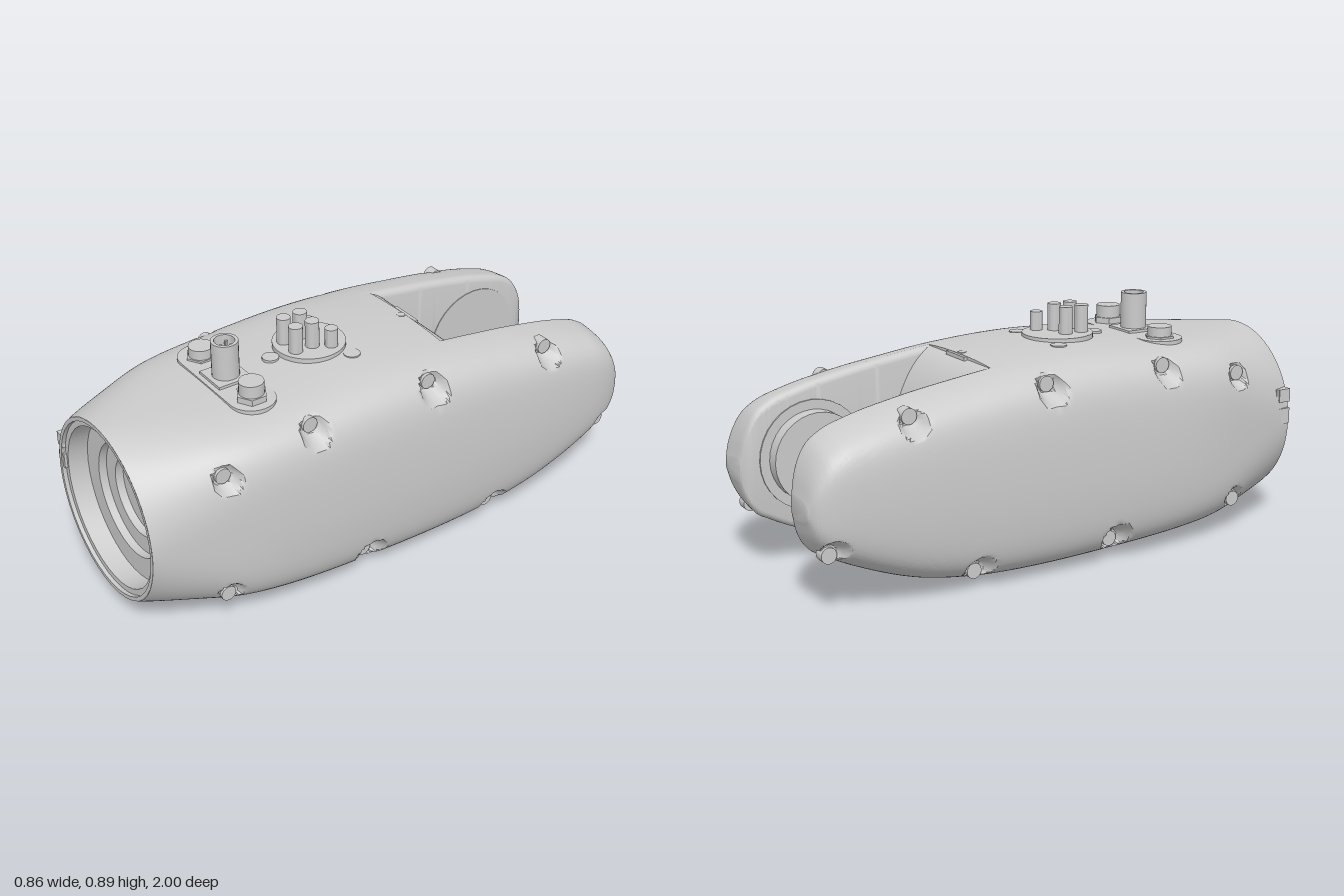
import * as THREE from 'three';
import { toCreasedNormals } from 'three/addons/utils/BufferGeometryUtils.js';

const grey = new THREE.MeshStandardMaterial({ color: 0xcccccc });
const greyOpen = new THREE.MeshStandardMaterial({ color: 0xcccccc, side: THREE.DoubleSide });

// Housing stations along the length: t = -z, values: top, bottom, half width, squareness, widest height
const stations = [
  [-1, 0.725, 0.065, 0.33, 2, 0.395],
  [-0.8, 0.734, 0.05, 0.375, 3.2, 0.385],
  [-0.6, 0.742, 0.035, 0.41, 5.4, 0.37],
  [-0.4, 0.752, 0.022, 0.425, 6.6, 0.35],
  [-0.1, 0.765, 0.008, 0.43, 7, 0.34],
  [0.2, 0.75, 0.003, 0.43, 7, 0.34],
  [0.4, 0.725, 0.015, 0.428, 7, 0.345],
  [0.6, 0.693, 0.052, 0.425, 6.6, 0.36],
  [0.8, 0.648, 0.128, 0.417, 6, 0.375],
  [0.9, 0.61, 0.178, 0.405, 5.5, 0.385],
  [0.95, 0.565, 0.21, 0.39, 5, 0.385],
  [0.985, 0.485, 0.268, 0.368, 4.5, 0.38],
  [1, 0.42, 0.325, 0.345, 4, 0.375],
];
const profile = new THREE.CubicInterpolant(
  stations.map(s => s[0]), stations.flatMap(s => s.slice(1)), 5);

// Screw pockets bored inwards from both sides: [y, z]
const screws = [[0.62, 0.73], [0.69, 0.39], [0.685, -0.1], [0.645, -0.63],
  [0.135, 0.73], [0.08, 0.17], [0.065, -0.39], [0.222, -0.93]];
const POCKET = 0.33;

function pocketed(x, y, z) {
  let limit = Infinity;
  for (const [sy, sz] of screws) {
    const d = Math.hypot(y - sy, z - sz);
    limit = Math.min(limit, POCKET + Math.max(0, d - 0.035) * 2.2);
  }
  return Math.sign(x) * Math.min(Math.abs(x), limit);
}

// Rounded box section with a crowned top and tapering sides, swept between two angles
function arc(t, count, inner) {
  const [top, bottom, w, n, mid] = profile.evaluate(t);
  const square = Math.min(1, (n - 2) / 5), taper = 0.075 * square, crown = 0.075 * square;
  const k = inner / (w * (1 - taper));
  const edge = Math.atan2(Math.pow(1 - Math.pow(k, n), 1 / n), k);
  const from = inner ? -edge : 0;
  const to = inner ? edge : Math.PI * 2;
  const pts = [];
  for (let i = 0; i < count; i++) {
    const a = from + (to - from) * i / (inner ? count - 1 : count);
    const c = Math.cos(a), s = Math.sin(a);
    const r = Math.pow(Math.pow(Math.abs(c), n) + Math.pow(Math.abs(s), n), -1 / n);
    const u = c * r, v = s * r;
    const y = mid + v * (1 - crown * u * u) * (v > 0 ? top - mid : mid - bottom);
    pts.push([pocketed(w * u * (1 - taper * v * v), y, -t), y, -t]);
  }
  return pts;
}

function loft(rings, capEnd) {
  const n = rings[0].length, index = [], pos = rings.flat(2);
  for (let i = 0; i < rings.length - 1; i++) {
    for (let j = 0; j < n; j++) {
      const a = i * n + j, b = i * n + (j + 1) % n, d = a + n, c = b + n;
      index.push(a, d, b, b, d, c);
    }
  }
  if (capEnd) {
    const last = rings[rings.length - 1], base = (rings.length - 1) * n;
    const mean = k => last.reduce((s, p) => s + p[k], 0) / n;
    pos.push(mean(0), mean(1), mean(2));
    for (let j = 0; j < n; j++) index.push(rings.length * n, base + (j + 1) % n, base + j);
  }
  const g = new THREE.BufferGeometry();
  g.setAttribute('position', new THREE.Float32BufferAttribute(pos, 3));
  g.setIndex(index);
  return toCreasedNormals(g, 0.6);
}

export function createModel() {
  const model = new THREE.Group();
  const add = (name, geo, x = 0, y = 0, z = 0, material = grey) => {
    const m = new THREE.Mesh(geo, material);
    m.name = name;
    m.position.set(x, y, z);
    model.add(m);
    return m;
  };
  const post = (name, r, y0, y1, x, z, sides = 24) =>
    add(name, toCreasedNormals(new THREE.CylinderGeometry(r, r, y1 - y0, sides), 0.6), x, (y0 + y1) / 2, z);
  const sideDisc = (name, r, x0, x1, y, z) => {
    const m = add(name, new THREE.CylinderGeometry(r, r, Math.abs(x1 - x0), 32), (x0 + x1) / 2, y, z);
    m.rotation.z = Math.PI / 2;
  };

  // Main housing: round at the front, squared towards the fork
  const bodyRings = [];
  for (let i = 0; i <= 110; i++) bodyRings.push(arc(-1 + 1.25 * i / 110, 180, 0));
  add('housing', loft(bodyRings, true));

  // Fork arms with rounded inner edges, mirrored
  const armRings = [];
  for (let i = 0; i <= 90; i++) {
    const t = 0.2 + 0.8 * Math.sin(i / 90 * Math.PI / 2);
    const xi = 0.195 + 0.02 * Math.max(0, (t - 0.96) / 0.04) ** 2;
    const round = 0.025;
    const ring = arc(t, 100, xi + round);
    const lo = ring[0][1], hi = ring[99][1];
    const corner = [0.25, 0.5, 0.75, 1].map(f => f * Math.PI / 2)
      .map(a => [xi + round * (1 - Math.sin(a)), round * (1 - Math.cos(a))]);
    for (const [x, d] of corner) ring.push([x, hi - d, -t]);
    for (const [x, d] of corner.reverse()) ring.push([x, lo + d, -t]);
    armRings.push(ring);
  }
  const armGeo = loft(armRings, true);
  add('leftForkArm', armGeo);
  add('rightForkArm', armGeo).scale.x = -1;

  // Bulging web between the arms
  const web = new THREE.Shape();
  web.moveTo(-0.2, 0.03);
  web.lineTo(-0.2, 0.735);
  web.lineTo(-0.25, 0.733);
  web.bezierCurveTo(-0.34, 0.71, -0.42, 0.52, -0.42, 0.4);
  web.bezierCurveTo(-0.42, 0.26, -0.34, 0.08, -0.27, 0.012);
  web.lineTo(-0.24, 0.012);
  const webGeo = new THREE.ExtrudeGeometry(web, { depth: 0.43, bevelEnabled: false, curveSegments: 16 });
  webGeo.rotateY(-Math.PI / 2).translate(0.215, 0, 0);
  add('forkWeb', toCreasedNormals(webGeo, 0.6));

  // Stepped bore in the front
  const bore = [[0.33, 1], [0.315, 1], [0.315, 0.985], [0.293, 0.985], [0.293, 0.91], [0.21, 0.91],
    [0.21, 0.88], [0.145, 0.88], [0.145, 0.85], [0.063, 0.85], [0.063, 0.82], [0, 0.82]];
  const boreGeo = new THREE.LatheGeometry(bore.map(p => new THREE.Vector2(...p)).reverse(), 40);
  boreGeo.rotateX(Math.PI / 2);
  add('frontBore', toCreasedNormals(boreGeo, 0.5), 0, 0.395, 0, greyOpen);
  add('frontLugUpper', new THREE.BoxGeometry(0.04, 0.05, 0.05), -0.32, 0.5, 0.97);
  add('frontLugLower', new THREE.BoxGeometry(0.04, 0.06, 0.05), -0.32, 0.42, 0.97);
  add('frontLugBack', new THREE.BoxGeometry(0.03, 0.14, 0.03), -0.32, 0.455, 0.95);

  // Screws in their pockets
  for (const [y, z] of screws) {
    for (const s of [-1, 1]) sideDisc('screw', 0.028, s * 0.3, s * 0.342, y, z);
  }

  // Connector row on a rounded plate
  const plate = new THREE.Shape();
  plate.absarc(0.165, 0, 0.083, -Math.PI / 2, Math.PI / 2);
  plate.absarc(-0.165, 0, 0.083, Math.PI / 2, Math.PI * 1.5);
  const plateGeo = new THREE.ExtrudeGeometry(plate, { depth: 0.03, bevelEnabled: false });
  add('connectorPlate', plateGeo.rotateX(-Math.PI / 2), 0, 0.718, 0.505);
  add('connectorBase', new THREE.BoxGeometry(0.13, 0.04, 0.13), 0, 0.738, 0.505);
  const socket = [[0, 0.84], [0.036, 0.84], [0.036, 0.89], [0.048, 0.89], [0.048, 0.74]]
    .map(p => new THREE.Vector2(...p)).reverse();
  add('tallSocket', toCreasedNormals(new THREE.LatheGeometry(socket, 24), 0.6), 0, 0, 0.505, greyOpen);
  for (const [x, z] of [[-0.015, 0.49], [0.015, 0.49], [0, 0.52]]) post('socketPin', 0.006, 0.83, 0.875, x, z, 8);
  for (const [x, nutTop, top] of [[0.165, 0.77, 0.815], [-0.165, 0.755, 0.79]]) {
    post('hexNut', 0.056, 0.73, nutTop, x, 0.505, 6);
    post('connectorCap', 0.044, 0.73, top, x, 0.505);
  }

  // Pin cluster on a round flange
  post('pinFlange', 0.13, 0.74, 0.776, 0, 0.165, 40);
  post('shortPin', 0.023, 0.76, 0.845, 0.073, 0.12);
  for (const x of [-0.04, 0.036]) {
    for (const z of [0.175, 0.243]) post('tallPin', 0.025, 0.76, 0.875, x, z);
  }
  for (const [x, z] of [[-0.14, 0.08], [0.14, 0.08], [0, 0.325]]) post('flangeBolt', 0.03, 0.73, 0.764, x, z);

  // Small latch at the top of the web
  add('latchBar', new THREE.BoxGeometry(0.13, 0.014, 0.012), 0, 0.737, -0.258);
  post('latchPin', 0.016, 0.71, 0.749, 0, -0.235, 12);

  // Pivot knob and its seat inside the fork
  sideDisc('pivotSeat', 0.2, 0.189, 0.21, 0.4, -0.735);
  sideDisc('pivotKnob', 0.165, 0.138, 0.195, 0.4, -0.735);
  sideDisc('oppositeSeat', 0.2, -0.192, -0.21, 0.4, -0.735);
  return model;
}
